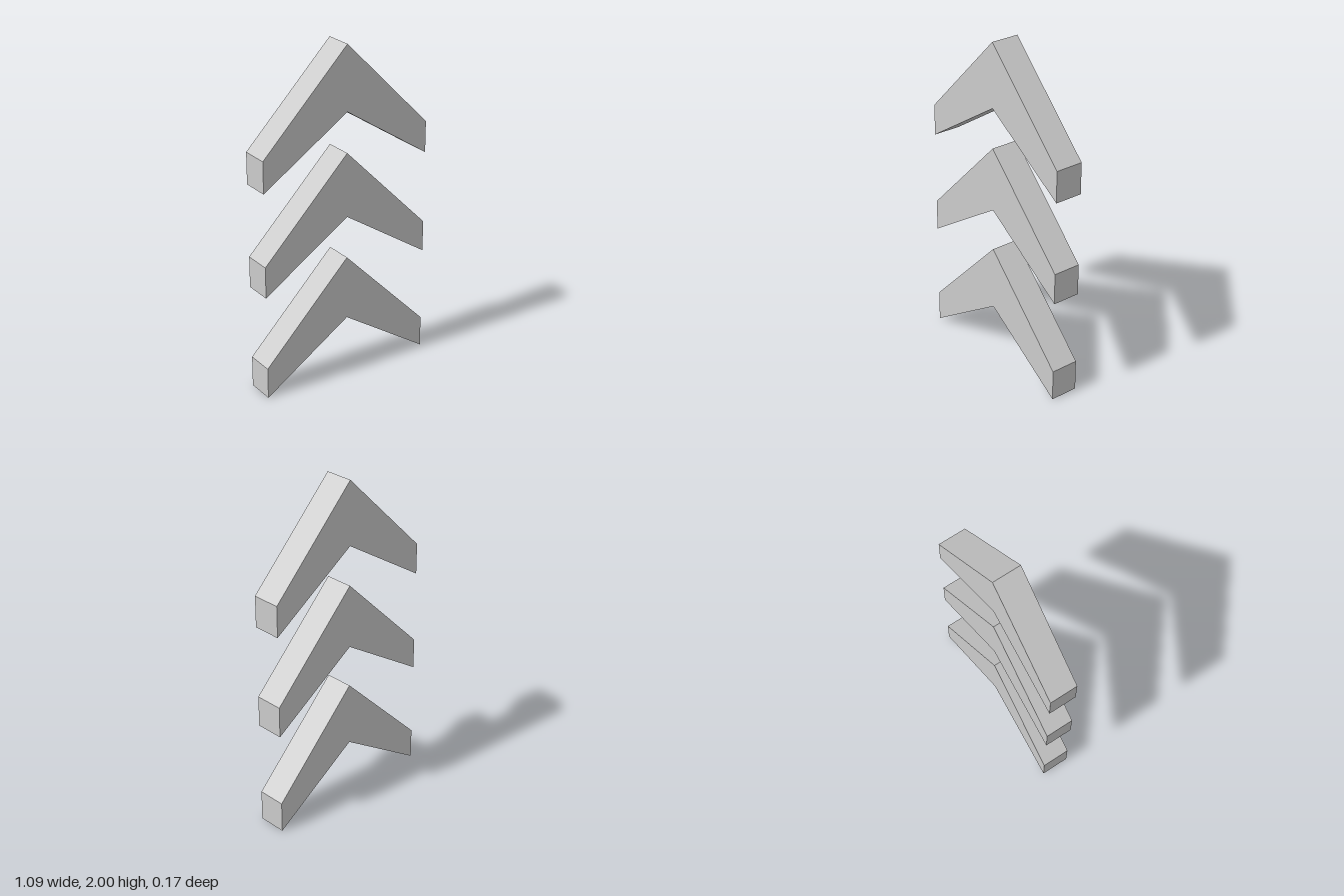
import * as THREE from 'three';

const HALF_WIDTH = 0.543;
const DEPTH = 0.17;

// Upward-pointing chevron outline, standing on y = 0
function chevronGeometry() {
  const outline = new THREE.Shape([
    [-HALF_WIDTH, 0], [0, 0.355], [HALF_WIDTH, 0],
    [HALF_WIDTH, 0.188], [0, 0.739], [-HALF_WIDTH, 0.188],
  ].map(([x, y]) => new THREE.Vector2(x, y)));
  const geometry = new THREE.ExtrudeGeometry(outline, { depth: DEPTH, bevelEnabled: false });
  return geometry.translate(0, 0, -DEPTH / 2);
}

export function createModel() {
  const group = new THREE.Group();
  group.name = 'chevronStack';
  const geometry = chevronGeometry();
  const material = new THREE.MeshStandardMaterial({ color: 0xcccccc, flatShading: true });

  // Three identical chevrons, one above another
  const levels = { lowerChevron: 0, middleChevron: 0.637, upperChevron: 1.261 };
  for (const [name, y] of Object.entries(levels)) {
    const chevron = new THREE.Mesh(geometry, material);
    chevron.name = name;
    chevron.position.y = y;
    group.add(chevron);
  }
  return group;
}
